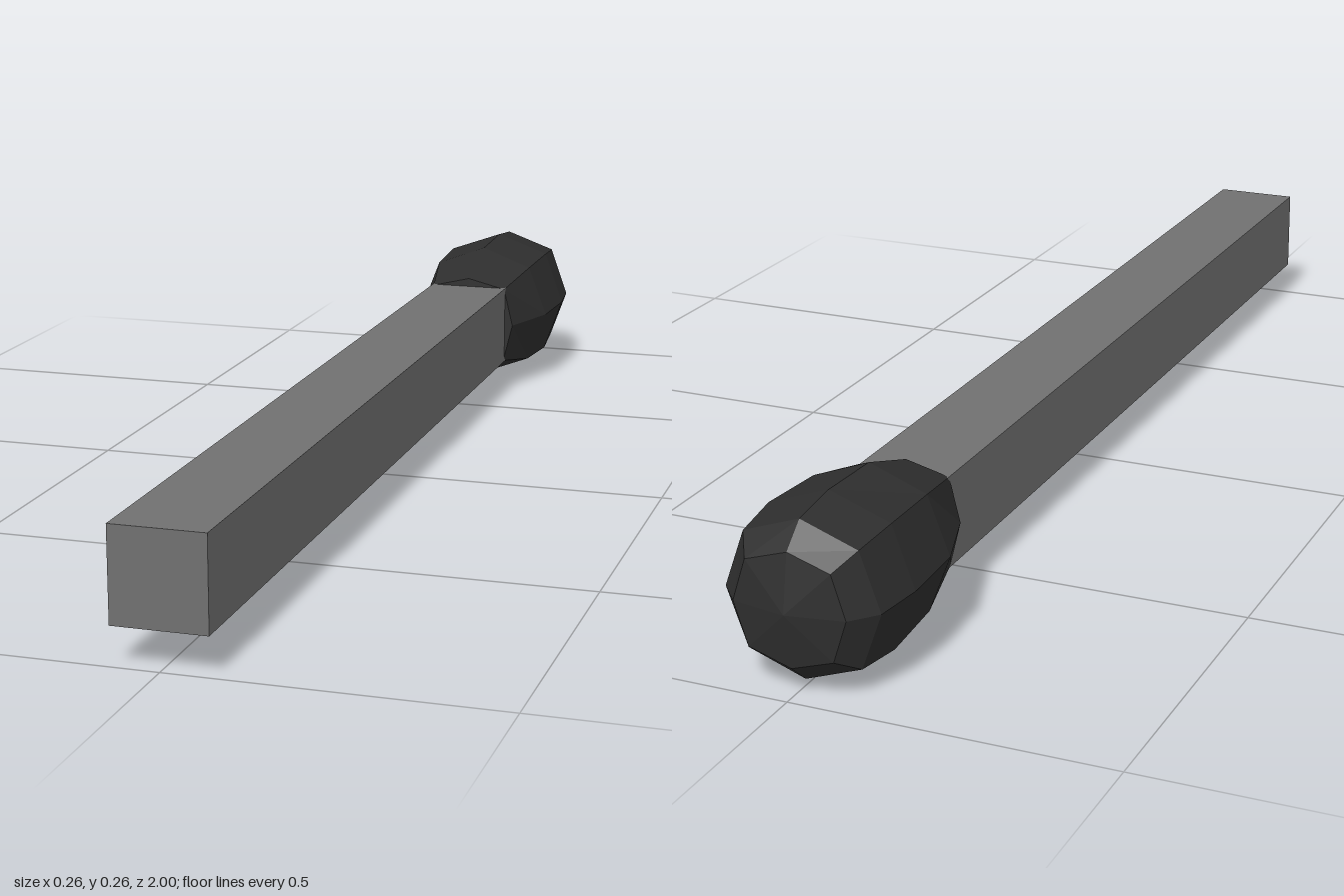
import * as THREE from 'three';

const CENTRE_Y = 0.134;

// Eight-sided rings from the neck to the tip: z, radius at the sides, radius at the diagonals
const HEAD_RINGS = [
  [-0.62, 0.088, 0.1],
  [-0.737, 0.127, 0.13],
  [-0.86, 0.132, 0.137],
  [-0.945, 0.122, 0.127],
  [-0.984, 0.088, 0.094],
];
const SIDES = 8;

// Skins the rings with quads and closes both ends with a centre point
function headGeometry() {
  const positions = [];
  const index = [];
  for (const [z, sideR, diagonalR] of HEAD_RINGS) {
    for (let k = 0; k < SIDES; k++) {
      const r = k % 2 ? diagonalR : sideR;
      const a = (k / SIDES) * Math.PI * 2;
      positions.push(r * Math.cos(a), r * Math.sin(a), z);
    }
  }
  const last = (HEAD_RINGS.length - 1) * SIDES;
  const neck = last + SIDES;
  const tip = neck + 1;
  positions.push(0, 0, HEAD_RINGS[0][0], 0, 0, -1);

  for (let k = 0; k < SIDES; k++) {
    const n = (k + 1) % SIDES;
    for (let base = 0; base < last; base += SIDES) {
      const a = base + k, b = base + n;
      index.push(a, a + SIDES, b, b, a + SIDES, b + SIDES);
    }
    index.push(neck, k, n, tip, last + n, last + k);
  }

  const geometry = new THREE.BufferGeometry();
  geometry.setAttribute('position', new THREE.Float32BufferAttribute(positions, 3));
  geometry.setIndex(index);
  geometry.computeVertexNormals();
  return geometry;
}

function addPart(group, name, geometry, color) {
  const material = new THREE.MeshStandardMaterial({ color, flatShading: true });
  const mesh = new THREE.Mesh(geometry, material);
  mesh.name = name;
  mesh.position.y = CENTRE_Y;
  group.add(mesh);
}

export function createModel() {
  const group = new THREE.Group();
  group.name = 'matchstick';

  // Square stick, its far end buried in the head
  const stick = new THREE.BoxGeometry(0.145, 0.145, 1.7);
  stick.translate(0, 0, 0.15);
  addPart(group, 'stick', stick, 0x707070);

  // Faceted dark head
  addPart(group, 'head', headGeometry(), 0x2e2e2e);

  return group;
}
